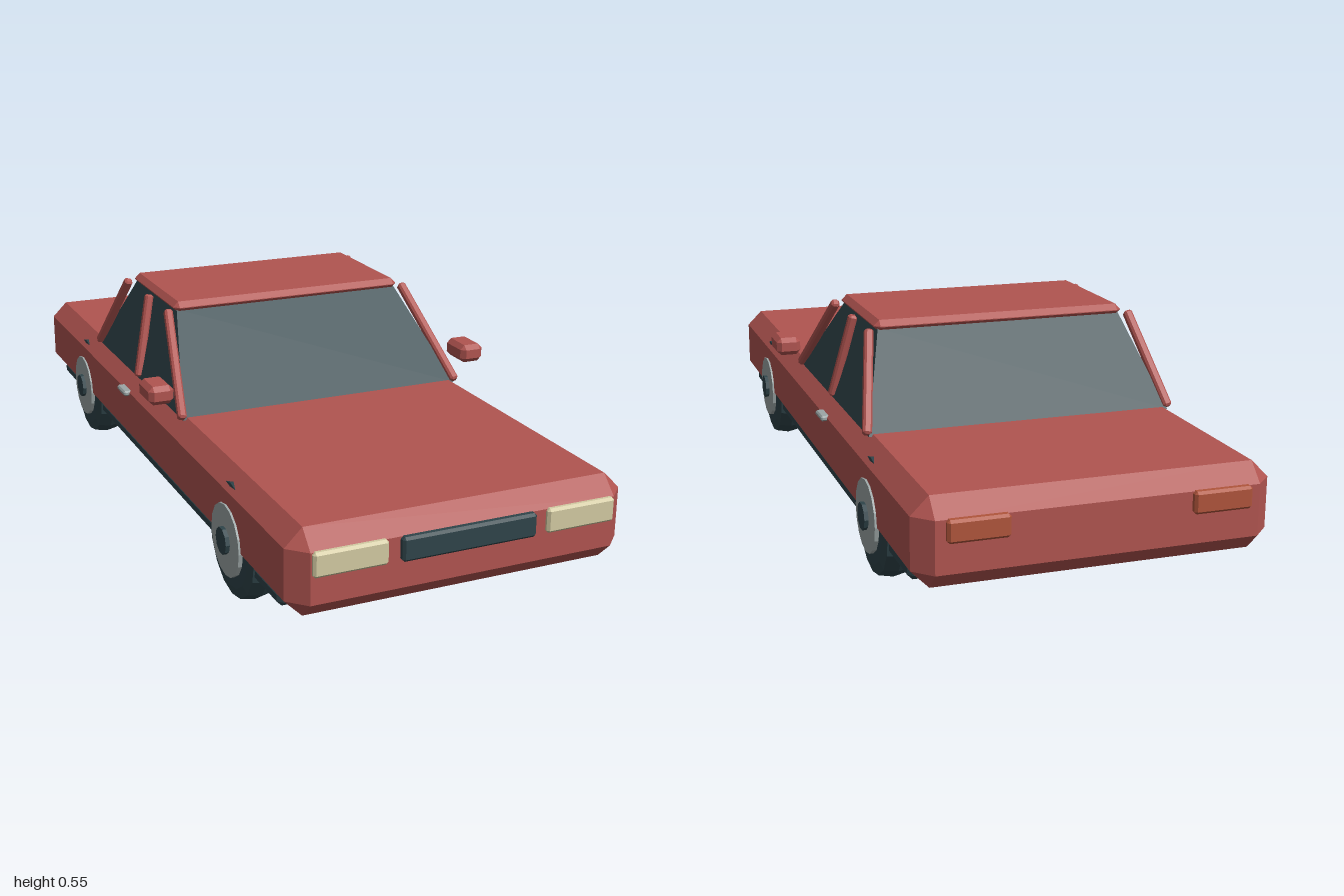
import * as THREE from 'three';
import { ConvexGeometry } from 'three/addons/geometries/ConvexGeometry.js';

const mat = (name, color, extra = {}) => {
  const m = new THREE.MeshStandardMaterial({ color, flatShading: true, ...extra });
  m.name = name;
  return m;
};

// Box with every edge and corner cut by c, given by its min and max on each axis
function chamferBox([x0, x1], [y0, y1], [z0, z1], c) {
  const h = [(x1 - x0) / 2, (y1 - y0) / 2, (z1 - z0) / 2];
  const pts = [];
  for (const sx of [-1, 1]) for (const sy of [-1, 1]) for (const sz of [-1, 1]) {
    for (let full = 0; full < 3; full++) {
      const d = h.map((v, i) => (i === full ? v : v - c));
      pts.push(new THREE.Vector3(sx * d[0], sy * d[1], sz * d[2]));
    }
  }
  return new ConvexGeometry(pts).translate((x0 + x1) / 2, (y0 + y1) / 2, (z0 + z1) / 2);
}

export function createModel() {
  const paint = mat('red paint', 0xb05450);
  const dark = mat('dark rubber', 0x2f444a);
  const glass = mat('tinted glass', 0x33494f);
  const lamp = mat('cream lamp', 0xd2caa2);
  const tail = mat('orange tail lamp', 0xb0553c);
  const metal = mat('grey metal', 0x9ca6a6);

  const car = new THREE.Group();
  car.name = 'car';
  const add = (name, geo, material, parent = car) => {
    const mesh = new THREE.Mesh(geo, material);
    mesh.name = name;
    parent.add(mesh);
    return mesh;
  };

  // Body, underside and roof
  add('body', chamferBox([-0.415, 0.415], [0.105, 0.31], [-0.985, 0.985], 0.042), paint);
  add('chassis', chamferBox([-0.4, 0.4], [0.096, 0.136], [-0.88, 0.88], 0.012), dark);
  add('roof', chamferBox([-0.325, 0.325], [0.515, 0.545], [-0.345, 0.012], 0.014), paint);

  // Tapered glass cabin
  const cabin = [];
  for (const s of [-1, 1]) {
    cabin.push(new THREE.Vector3(s * 0.385, 0.305, 0.235), new THREE.Vector3(s * 0.385, 0.305, -0.5),
      new THREE.Vector3(s * 0.316, 0.525, 0.0), new THREE.Vector3(s * 0.316, 0.525, -0.335));
  }
  add('cabinGlass', new ConvexGeometry(cabin), glass);

  // Grille
  add('grille', chamferBox([-0.165, 0.165], [0.212, 0.269], [0.97, 1.0], 0.006), dark);

  // Slim post between two points
  const post = (name, a, b) => {
    const from = new THREE.Vector3(...a), to = new THREE.Vector3(...b);
    const dir = to.clone().sub(from);
    const h = dir.length() / 2;
    const mesh = add(name, chamferBox([-0.011, 0.011], [-h, h], [-0.011, 0.011], 0.005), paint);
    mesh.position.copy(from).add(to).multiplyScalar(0.5);
    mesh.quaternion.setFromUnitVectors(new THREE.Vector3(0, 1, 0), dir.normalize());
  };

  // Tyre cross-section: radius, distance along the axle
  const tyreProfile = [[0.02, -0.04], [0.115, -0.04], [0.139, -0.034], [0.146, 0],
    [0.139, 0.034], [0.115, 0.04], [0.02, 0.04]].map(p => new THREE.Vector2(...p));

  for (const s of [-1, 1]) {
    const side = s > 0 ? 'left' : 'right';
    const span = (a, b) => (s > 0 ? [a, b] : [-b, -a]);

    // Window pillars
    post(side + 'FrontPillar', [s * 0.388, 0.31, 0.235], [s * 0.34, 0.525, 0.0]);
    post(side + 'MiddlePillar', [s * 0.386, 0.31, -0.13], [s * 0.336, 0.525, -0.17]);
    post(side + 'RearPillar', [s * 0.388, 0.31, -0.495], [s * 0.34, 0.525, -0.34]);

    // Mirrors, handles and lamps
    add(side + 'Mirror', chamferBox(span(0.407, 0.472), [0.354, 0.402], [0.143, 0.24], 0.012), paint);
    add(side + 'DoorHandle', chamferBox(span(0.405, 0.43), [0.259, 0.273], [-0.192, -0.125], 0.004), metal);
    add(side + 'Headlight', chamferBox(span(0.195, 0.37), [0.212, 0.27], [0.965, 0.996], 0.006), lamp);
    add(side + 'TailLight', chamferBox(span(0.21, 0.35), [0.218, 0.27], [-1.0, -0.97], 0.006), tail);

    // Wheels, with the axle turned to point outward
    for (const [end, z] of [['Front', 0.61], ['Rear', -0.59]]) {
      const wheel = new THREE.Group();
      wheel.name = side + end + 'Wheel';
      wheel.position.set(s * 0.37, 0.146, z);
      wheel.rotation.z = -s * Math.PI / 2;
      add('tyre', new THREE.LatheGeometry(tyreProfile, 16).rotateY(Math.PI / 2), dark, wheel);
      add('rim', new THREE.CylinderGeometry(0.088, 0.088, 0.06, 16).translate(0, 0.02, 0), metal, wheel);
      add('hub', new THREE.CylinderGeometry(0.033, 0.033, 0.06, 10).translate(0, 0.03, 0), dark, wheel);
      car.add(wheel);
    }
  }
  return car;
}
